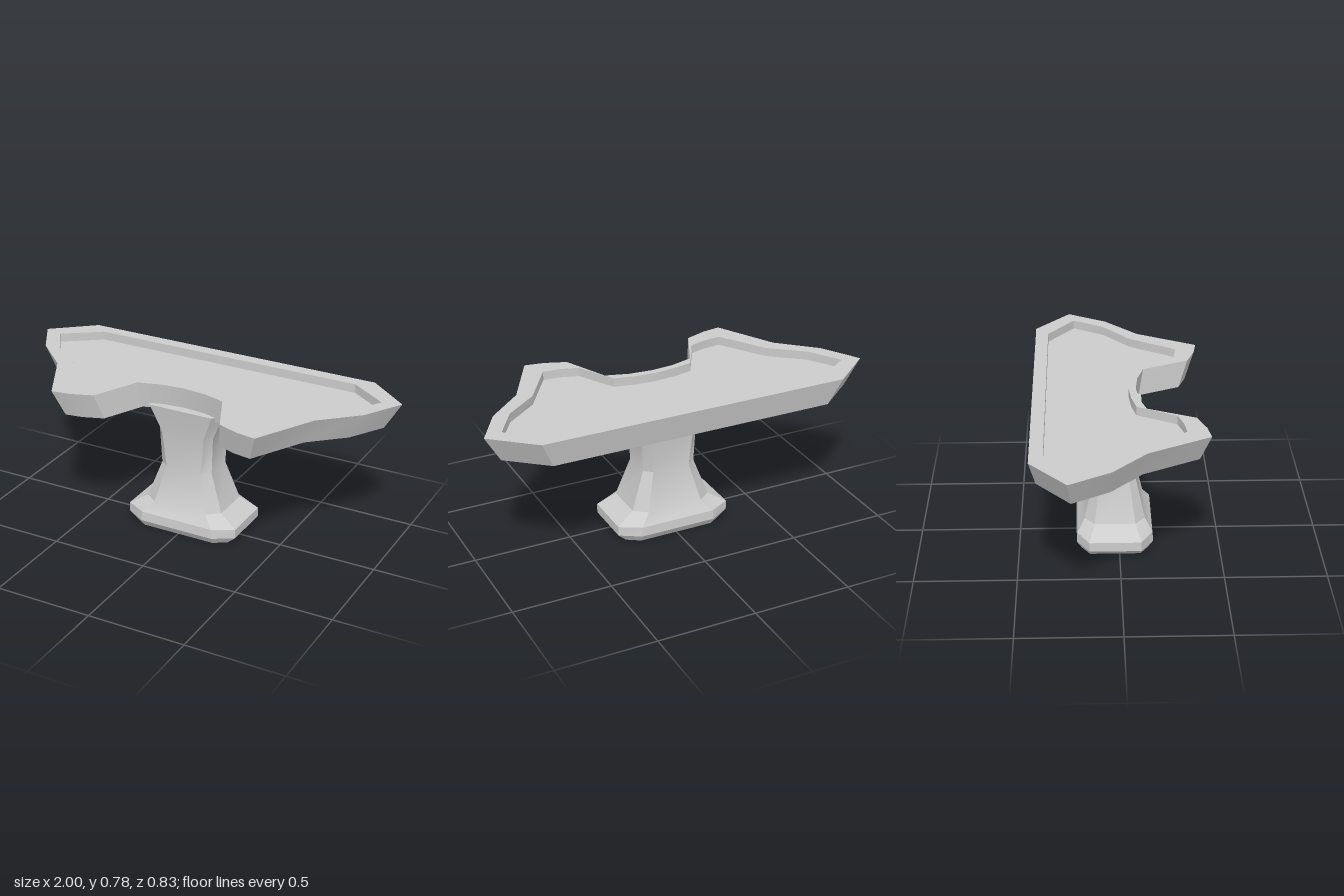
import * as THREE from 'three';
import { toCreasedNormals } from 'three/addons/utils/BufferGeometryUtils.js';

const material = new THREE.MeshStandardMaterial({ color: 0xcccccc });

// Right half of an outline [x, z], back to front, mirrored into a closed loop.
function mirrorLoop(half) {
  const left = half.filter(([x]) => x > 0).reverse().map(([x, z]) => [-x, z]);
  return [...half, ...left];
}

const ring = (loop, y, scaleX = 1, scaleZ = 1, shiftZ = 0) =>
  loop.map(([x, z]) => new THREE.Vector3(x * scaleX, y, z * scaleZ + shiftZ));

// Skins consecutive rings and caps the first (facing down) and last (facing up).
function loft(name, rings) {
  const points = [];
  const tri = (a, b, c) => points.push(a, b, c);
  for (let r = 0; r < rings.length - 1; r++) {
    const a = rings[r], b = rings[r + 1];
    for (let i = 0; i < a.length; i++) {
      const j = (i + 1) % a.length;
      tri(a[i], b[i], a[j]);
      tri(a[j], b[i], b[j]);
    }
  }
  const cap = (loop, up) => {
    const flat = loop.map((p) => new THREE.Vector2(p.x, p.z));
    for (const [i, j, k] of THREE.ShapeUtils.triangulateShape(flat, [])) {
      const facesDown = THREE.ShapeUtils.area([flat[i], flat[j], flat[k]]) > 0;
      if (facesDown !== up) tri(loop[i], loop[j], loop[k]);
      else tri(loop[i], loop[k], loop[j]);
    }
  };
  cap(rings[0], false);
  cap(rings[rings.length - 1], true);
  const geometry = new THREE.BufferGeometry().setFromPoints(points);
  const mesh = new THREE.Mesh(toCreasedNormals(geometry, 0.4), material);
  mesh.name = name;
  return mesh;
}

export function createModel() {
  const group = new THREE.Group();
  group.name = 'pedestalTable';

  // Tray top: tapered sides, flat rim and a shallow recess
  const outer = mirrorLoop([
    [0.79, -0.42], [1, -0.245], [0.885, -0.05], [0.705, 0.115], [0.545, 0.415],
    [0.45, 0.4], [0.34, 0.36], [0.235, 0.13], [0.12, 0.096], [0, 0.085],
  ]);
  const inner = mirrorLoop([
    [0.715, -0.355], [0.905, -0.22], [0.805, -0.06], [0.64, 0.07], [0.49, 0.305],
    [0.4, 0.295], [0.315, 0.27], [0.21, 0.08], [0.105, 0.058], [0, 0.05],
  ]);
  group.add(loft('trayTop', [
    ring(outer, 0.645, 0.92, 0.905, -0.01),
    ring(outer, 0.78),
    ring(inner, 0.78),
    ring(inner, 0.735),
  ]));

  // Pedestal: chamfered sections [y, half width, half depth, flat width, flat depth]
  const sections = [
    [0, 0.26, 0.167, 0.195, 0.125],
    [0.037, 0.302, 0.191, 0.2, 0.129],
    [0.085, 0.302, 0.187, 0.195, 0.129],
    [0.14, 0.21, 0.15, 0.145, 0.101],
    [0.335, 0.14, 0.106, 0.098, 0.074],
    [0.53, 0.149, 0.118, 0.115, 0.08],
    [0.645, 0.2, 0.136, 0.16, 0.093],
    [0.67, 0.21, 0.14, 0.17, 0.096],
  ];
  group.add(loft('pedestal', sections.map(([y, w, d, fw, fd]) =>
    ring(mirrorLoop([[fw, -d], [w, -fd], [w, fd], [fw, d]]), y, 1, 1, -0.022))));

  return group;
}
